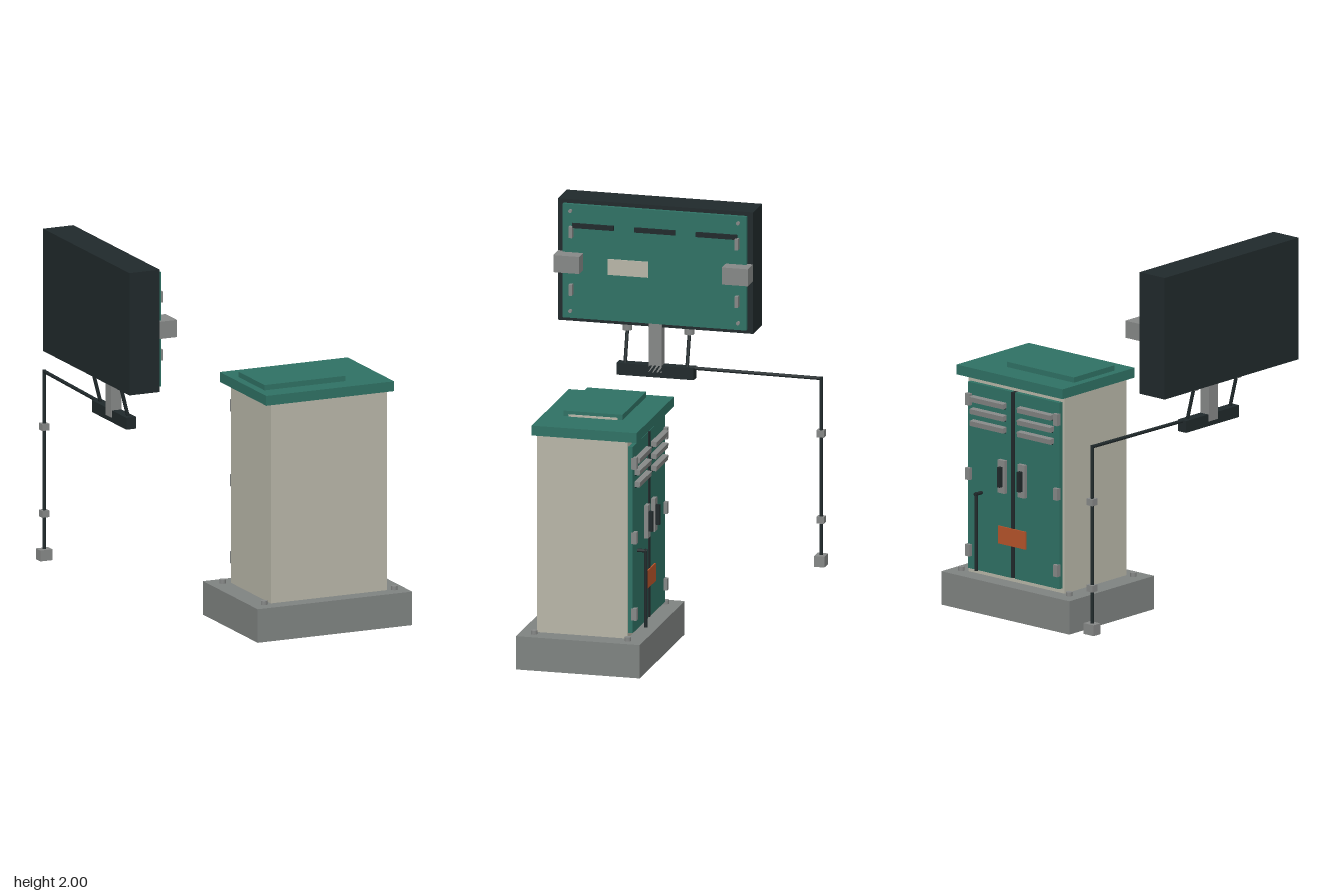
import * as THREE from 'three';

const mat = (name, color) => {
  const m = new THREE.MeshStandardMaterial({ color });
  m.name = name;
  return m;
};

export function createModel() {
  const model = new THREE.Group();
  model.name = 'cabinetAndDisplay';

  const green = mat('green paint', 0x2f7164);
  const beige = mat('beige panel', 0xb8b6a8);
  const concrete = mat('concrete grey', 0x7f8381);
  const metal = mat('metal grey', 0x868887);
  const dark = mat('dark housing', 0x20292b);
  const orange = mat('orange sign', 0xb5532a);

  // Box given by its extents on each axis
  const box = (parent, name, m, [x0, x1], [y0, y1], [z0, z1]) => {
    const mesh = new THREE.Mesh(new THREE.BoxGeometry(x1 - x0, y1 - y0, z1 - z0), m);
    mesh.position.set((x0 + x1) / 2, (y0 + y1) / 2, (z0 + z1) / 2);
    mesh.name = name;
    parent.add(mesh);
    return mesh;
  };
  // Round rod between two points
  const rod = (parent, name, m, a, b, r, sides = 10) => {
    const p = new THREE.Vector3(...a), q = new THREE.Vector3(...b);
    const d = q.clone().sub(p);
    const mesh = new THREE.Mesh(new THREE.CylinderGeometry(r, r, d.length(), sides), m);
    mesh.position.copy(p).add(q).multiplyScalar(0.5);
    mesh.quaternion.setFromUnitVectors(new THREE.Vector3(0, 1, 0), d.normalize());
    mesh.name = name;
    parent.add(mesh);
    return mesh;
  };
  const group = (name) => {
    const g = new THREE.Group();
    g.name = name;
    model.add(g);
    return g;
  };

  // Cabinet shell on its plinth
  const cabinet = group('cabinet');
  box(cabinet, 'plinth', concrete, [-0.03, 0.81], [0, 0.17], [-0.13, 0.5]);
  box(cabinet, 'cabinetBody', beige, [0.08, 0.71], [0.17, 1.18], [-0.04, 0.42]);
  box(cabinet, 'roof', green, [0.045, 0.74], [1.18, 1.23], [-0.095, 0.44]);
  box(cabinet, 'roofHatch', green, [0.085, 0.525], [1.23, 1.257], [0.035, 0.335]);
  box(cabinet, 'hatchStrip', beige, [0.525, 0.532], [1.23, 1.24], [0.06, 0.31]);
  for (const x of [0.04, 0.748])
    for (const z of [-0.052, 0.425])
      rod(cabinet, 'anchorBolt', metal, [x, 0.17, z], [x, 0.19, z], 0.016, 12);

  // Pair of rear doors, mirrored about the centre seam
  const doors = group('rearDoors');
  const cx = 0.395;
  box(doors, 'doorSeam', dark, [cx - 0.01, cx + 0.01], [0.2, 1.145], [-0.07, -0.04]);
  for (const s of [-1, 1]) {
    const span = (a, b) => (s > 0 ? [cx + a, cx + b] : [cx - b, cx - a]);
    box(doors, 'door', green, span(0.01, 0.3), [0.195, 1.145], [-0.063, -0.04]);
    for (const y of [1.068, 1.006, 0.945]) {
      const louver = box(doors, 'louver', metal, span(0.045, 0.265), [y - 0.013, y + 0.013], [-0.09, -0.06]);
      louver.rotation.x = -0.12;
      box(doors, 'louverSlot', dark, span(0.05, 0.26), [y - 0.02, y - 0.012], [-0.067, -0.06]);
    }
    for (const y of [0.29, 0.68, 1.06])
      box(doors, 'doorHinge', metal, span(0.274, 0.302), [y - 0.03, y + 0.03], [-0.082, -0.055]);
    box(doors, 'handlePlate', metal, span(0.043, 0.088), [0.622, 0.79], [-0.083, -0.06]);
    box(doors, 'handleGrip', dark, span(0.056, 0.075), [0.655, 0.757], [-0.103, -0.08]);
  }
  box(doors, 'warningSign', orange, [0.305, 0.485], [0.36, 0.45], [-0.075, -0.068]);

  // Conduit beside the door
  const conduit = group('doorConduit');
  rod(conduit, 'conduitElbow', dark, [0.605, 0.595, -0.06], [0.605, 0.595, -0.112], 0.009);
  rod(conduit, 'conduitDrop', dark, [0.605, 0.603, -0.104], [0.605, 0.205, -0.104], 0.009);

  // Display housing with its service face toward +x
  const display = group('display');
  box(display, 'displayHousing', dark, [-0.815, -0.65], [1.38, 2], [-0.31, 0.685]);
  box(display, 'servicePanel', green, [-0.65, -0.63], [1.4, 1.98], [-0.28, 0.657]);
  box(display, 'infoPlate', beige, [-0.63, -0.623], [1.635, 1.715], [0.22, 0.425]);
  const dz = 0.1875;
  for (const z of [-0.13, 0.185, 0.5])
    box(display, 'ventSlot', dark, [-0.63, -0.618], [1.862, 1.886], [z - 0.105, z + 0.105]);
  for (const s of [-1, 1]) {
    const z = dz + s * 0.43;
    box(display, 'mountBlock', metal, [-0.65, -0.555], [1.648, 1.735], [z - 0.066, z + 0.066]);
    for (const y of [1.842, 1.548])
      box(display, 'panelHinge', metal, [-0.63, -0.602], [y - 0.028, y + 0.028], [dz + s * 0.423 - 0.009, dz + s * 0.423 + 0.009]);
    for (const y of [1.947, 1.437])
      rod(display, 'panelScrew', metal, [-0.632, y, dz + s * 0.428], [-0.615, y, dz + s * 0.428], 0.009);
  }

  // Bracket, post and struts below the display
  const support = group('displaySupport');
  box(support, 'post', metal, [-0.695, -0.638], [1.15, 1.4], [0.155, 0.22]);
  box(support, 'bracketBar', dark, [-0.69, -0.638], [1.125, 1.185], [-0.01, 0.385]);
  for (const z of [0.03, 0.347]) {
    rod(support, 'strutSocket', metal, [-0.705, 1.34, z], [-0.705, 1.385, z], 0.024, 14);
    rod(support, 'strut', dark, [-0.705, 1.345, z], [-0.66, 1.17, z], 0.009);
  }

  // Cable arm and hanging drop
  const drop = group('cableDrop');
  const corner = [-0.645, 1.18, -0.657];
  rod(drop, 'cableArm', dark, [-0.662, 1.18, 0.02], corner, 0.009);
  rod(drop, 'cableDropLine', dark, [-0.645, 1.188, -0.657], [-0.645, 0.25, -0.657], 0.009);
  for (const y of [0.9, 0.46])
    box(drop, 'cableClip', metal, [-0.664, -0.626], [y - 0.017, y + 0.017], [-0.676, -0.638]);
  box(drop, 'endBox', metal, [-0.678, -0.612], [0.225, 0.28], [-0.683, -0.631]);

  return model;
}
